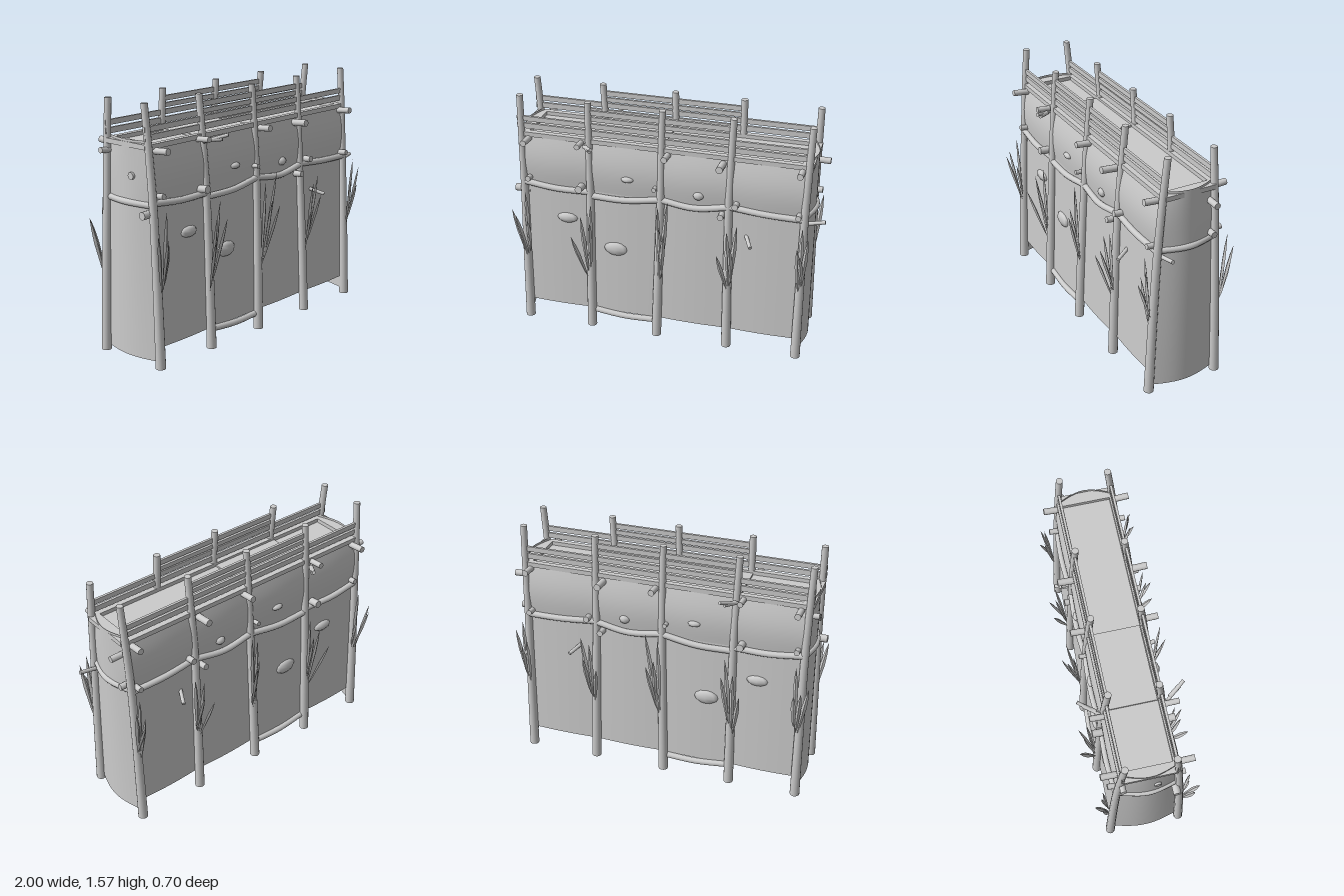
import * as THREE from 'three';
import { ParametricGeometry } from 'three/addons/geometries/ParametricGeometry.js';

const mat = new THREE.MeshStandardMaterial({ color: 0xcccccc });
const skinMat = new THREE.MeshStandardMaterial({ color: 0xcccccc, side: THREE.DoubleSide });
const flatMat = new THREE.MeshStandardMaterial({ color: 0xcccccc, flatShading: true });
const V = (x, y, z) => new THREE.Vector3(x, y, z);
const UP = V(0, 1, 0);

// x of each post at the foot, middle and tip
const POSTS = [
  [-0.935, -0.932, -0.945], [-0.495, -0.488, -0.5], [-0.05, -0.028, -0.025],
  [0.42, 0.405, 0.415], [0.875, 0.876, 0.89],
];
const H = 1.57;
const postX = (p, y) => (y < 1 ? THREE.MathUtils.lerp(p[0], p[1], y) : THREE.MathUtils.lerp(p[1], p[2], (y - 1) / (H - 1)));
const postZ = (y) => 0.235 - 0.035 * y - 0.008 * y ** 3;

export function createModel() {
  const root = new THREE.Group();

  const add = (name, geo, m = mat) => {
    const mesh = new THREE.Mesh(geo, m);
    mesh.name = name;
    root.add(mesh);
    return mesh;
  };

  // straight round stick from a to b
  const rod = (name, a, b, r0, r1 = r0) => {
    const d = b.clone().sub(a);
    const mesh = add(name, new THREE.CylinderGeometry(r1, r0, d.length(), 12));
    mesh.position.copy(a).addScaledVector(d, 0.5);
    mesh.quaternion.setFromUnitVectors(UP, d.normalize());
  };

  const pole = (name, pts, r) =>
    add(name, new THREE.TubeGeometry(new THREE.CatmullRomCurve3(pts), 12, r, 10), skinMat);

  const board = (name, x0, x1, y0, y1, z, depth) =>
    add(name, new THREE.BoxGeometry(x1 - x0, y1 - y0, depth)).position.set((x0 + x1) / 2, (y0 + y1) / 2, z);

  // pointed leaf blade from a to b
  const blade = (a, b) => {
    const d = b.clone().sub(a);
    const L = d.length();
    const profile = [[0.0005, 0], [0.009, L * 0.15], [0.016, L * 0.6], [0.011, L * 0.82], [0.0005, L]];
    const geo = new THREE.LatheGeometry(profile.map((p) => new THREE.Vector2(...p)), 4);
    geo.scale(1, 1, 0.6);
    const mesh = add('leafBlade', geo, flatMat);
    mesh.position.copy(a);
    mesh.quaternion.setFromUnitVectors(UP, d.normalize());
  };

  // hide depth at a height: lower band tapers, upper band also bellies out
  const skinZ = (y) => (y < 0.98 ? 0.22 - 0.035 * (y / 0.98)
    : 0.185 - 0.025 * (y - 0.98) / 0.35 + 0.022 * Math.sin(Math.PI * (y - 0.98) / 0.35));

  for (const s of [1, -1]) {
    // posts, bent and leaning inwards
    POSTS.forEach((p) => {
      const geo = new THREE.CylinderGeometry(0.021, 0.031, H, 14, 10);
      geo.translate(0, H / 2, 0);
      const pos = geo.attributes.position;
      for (let i = 0; i < pos.count; i++) {
        const y = pos.getY(i);
        pos.setXYZ(i, pos.getX(i) + postX(p, y), y, pos.getZ(i) + s * postZ(y));
      }
      add('post', geo);
    });

    // hide panels, two bands in every bay
    for (let b = 0; b < 4; b++) {
      for (const [y0, y1] of [[0.12, 0.98], [0.98, 1.33]]) {
        add('wallPanel', new ParametricGeometry((u, v, t) => {
          const y = y0 + (y1 - y0) * v;
          const x = THREE.MathUtils.lerp(postX(POSTS[b], y), postX(POSTS[b + 1], y), u);
          t.set(x, y, s * (skinZ(y) + 0.008 * Math.sin(Math.PI * u)));
        }, 10, 10), skinMat);
      }
    }

    // sagging cross poles along the middle seam
    [[0.995, 0.977, 0.975], [0.95, 0.955, 0.985], [0.985, 0.965, 0.995], [1.0, 0.985, 0.975]].forEach(([a, m, c], b) => {
      const xa = postX(POSTS[b], 1), xc = postX(POSTS[b + 1], 1);
      pole('crossPole', [V(xa, a, s * 0.195), V((xa + xc) / 2, m, s * 0.207), V(xc, c, s * 0.195)], 0.02);
    });
    pole('footPole', [V(-0.49, 0.115, s * 0.22), V(-0.27, 0.1, s * 0.23), V(-0.05, 0.1, s * 0.22)], 0.02);

    // parapet boards, raised over the two middle bays
    for (const [y0, y1] of [[1.355, 1.39], [1.405, 1.437]]) board('parapetBoard', -0.965, 0.9, y0, y1, s * 0.163, 0.016);
    for (const [y0, y1] of [[1.45, 1.478], [1.49, 1.522]]) board('upperParapetBoard', -0.5, 0.42, y0, y1, s * 0.156, 0.016);
    board('deckRim', -0.92, 0.87, 1.305, 1.335, s * 0.165, 0.035);

    // pegs beside the posts: x, y, outer z, radius
    for (const [x, y, z, r] of [
      [-0.89, 1.29, 0.28, 0.02], [-0.54, 1.305, 0.27, 0.018], [0.015, 1.29, 0.27, 0.02], [0.36, 1.275, 0.28, 0.022],
      [0.845, 1.29, 0.27, 0.02], [-0.89, 1.025, 0.24, 0.018], [-0.545, 1.005, 0.26, 0.024], [-0.06, 1.06, 0.24, 0.014],
      [0.365, 0.935, 0.25, 0.02], [0.455, 1.02, 0.25, 0.02], [0.845, 1.0, 0.25, 0.018],
    ]) rod('peg', V(x, y, s * 0.15), V(x, y + 0.01, s * z), r);

    // thin twigs
    rod('twig', V(0.52, 0.81, s * 0.19), V(0.565, 0.78, s * 0.28), 0.012);
    rod('twig', V(-0.52, 1.29, s * 0.2), V(-0.43, 1.335, s * 0.32), 0.011);
    rod('twig', V(-0.5, 1.3, s * 0.22), V(-0.45, 1.31, s * 0.29), 0.014);

    // leaf clusters: base x, base y, then tips as x, y, z
    for (const [x, y, ...tips] of [
      [-0.91, 0.45, [-0.99, 0.83, 0.29], [-0.95, 0.81, 0.33], [-0.9, 0.95, 0.27], [-0.895, 0.75, 0.28]],
      [-0.5, 0.37, [-0.575, 0.72, 0.35], [-0.52, 0.85, 0.31], [-0.46, 0.93, 0.28], [-0.452, 0.83, 0.33]],
      [-0.02, 0.4, [-0.025, 0.97, 0.27], [0.045, 1.03, 0.3], [0.03, 0.82, 0.34], [-0.01, 0.85, 0.31]],
      [0.43, 0.42, [0.365, 0.72, 0.33], [0.42, 0.88, 0.3], [0.48, 0.92, 0.29], [0.45, 0.8, 0.34]],
      [0.88, 0.48, [0.855, 0.82, 0.29], [0.88, 0.96, 0.28], [0.92, 0.9, 0.3], [0.875, 0.79, 0.32]],
    ]) tips.forEach((t, i) => blade(V(x + (i - 1.5) * 0.008, y + i * 0.02, s * 0.24), V(t[0], t[1], s * t[2])));

    // low lumps bulging from the hide: x, y, half width, half height
    for (const [x, y, w, h] of [[-0.325, 0.59, 0.08, 0.048], [-0.65, 0.77, 0.07, 0.035], [-0.24, 1.1, 0.042, 0.02], [0.215, 1.05, 0.035, 0.028]]) {
      const lump = add('lump', new THREE.SphereGeometry(1, 8, 6));
      lump.scale.set(w, h, 0.026);
      lump.position.set(x, y, s * (skinZ(y) + 0.005));
    }
  }

  // bowed end walls with their seam pole and top rim
  for (const [x, out] of [[0.865, 0.05], [-0.92, -0.04]]) {
    for (const [y0, y1] of [[0.03, 0.98], [0.98, 1.35]]) {
      add('endWall', new ParametricGeometry((u, v, t) => {
        const y = y0 + (y1 - y0) * v;
        t.set(x + out * Math.sin(Math.PI * u), y, (u * 2 - 1) * skinZ(Math.min(y, 1.33)));
      }, 12, 10), skinMat);
    }
    pole('endPole', [V(x, 0.975, 0.19), V(x + out, 0.98, 0), V(x, 0.975, -0.19)], 0.02);
    const rim = add('endRim', new THREE.BoxGeometry(0.07, 0.03, 0.33));
    rim.position.set(x + out * 0.2, 1.32, 0);
  }

  // walkway deck, one section slightly raised
  board('deck', -0.91, 0.87, 1.285, 1.31, 0, 0.33);
  board('raisedDeck', -0.51, -0.03, 1.3, 1.322, 0, 0.29);

  // pegs on the ends: start, end, radius
  for (const [a, b, r] of [
    [[0.86, 1.23, -0.14], [0.97, 1.228, -0.14], 0.02], [[0.86, 1.015, -0.155], [0.93, 1.015, -0.155], 0.02],
    [[0.86, 0.935, 0.17], [1.0, 0.965, 0.165], 0.012], [[-0.9, 1.255, -0.165], [-1.0, 1.265, -0.165], 0.018],
    [[-0.9, 0.93, 0.17], [-1.0, 0.93, 0.17], 0.024], [[-0.9, 1.14, 0.05], [-0.97, 1.14, 0.05], 0.022],
  ]) rod('endPeg', V(...a), V(...b), r);

  return root;
}
